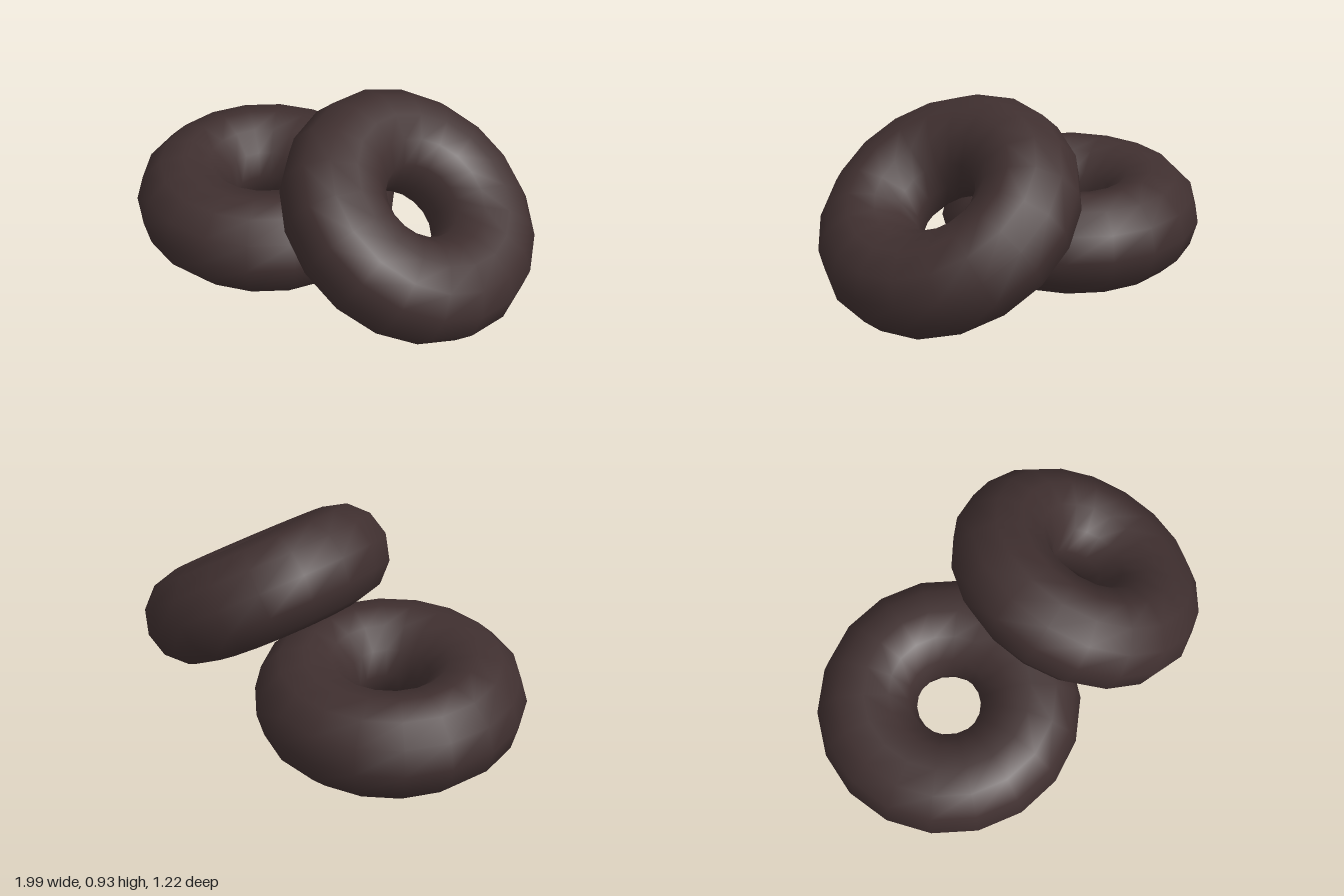
import * as THREE from 'three';

export function createModel() {
  const model = new THREE.Group();
  model.name = 'ringPair';

  const chocolate = new THREE.MeshStandardMaterial({ color: 0x403030 });
  chocolate.name = 'dark chocolate';

  // One low-sided ring, laid flat, shared by both parts
  const ringGeometry = new THREE.TorusGeometry(0.385, 0.235, 12, 18);
  ringGeometry.rotateX(Math.PI / 2);

  function addRing(name, position, tiltX, tiltZ) {
    const ring = new THREE.Mesh(ringGeometry, chocolate);
    ring.name = name;
    ring.position.set(...position);
    ring.rotation.set(tiltX, 0, tiltZ);
    model.add(ring);
  }

  // Ring lying on the ground
  addRing('flatRing', [-0.38, 0.24, 0], -0.016, 0);

  // Ring leaning on the edge of the first
  addRing('leaningRing', [0.44, 0.48, 0], 0, THREE.MathUtils.degToRad(-34));

  return model;
}
